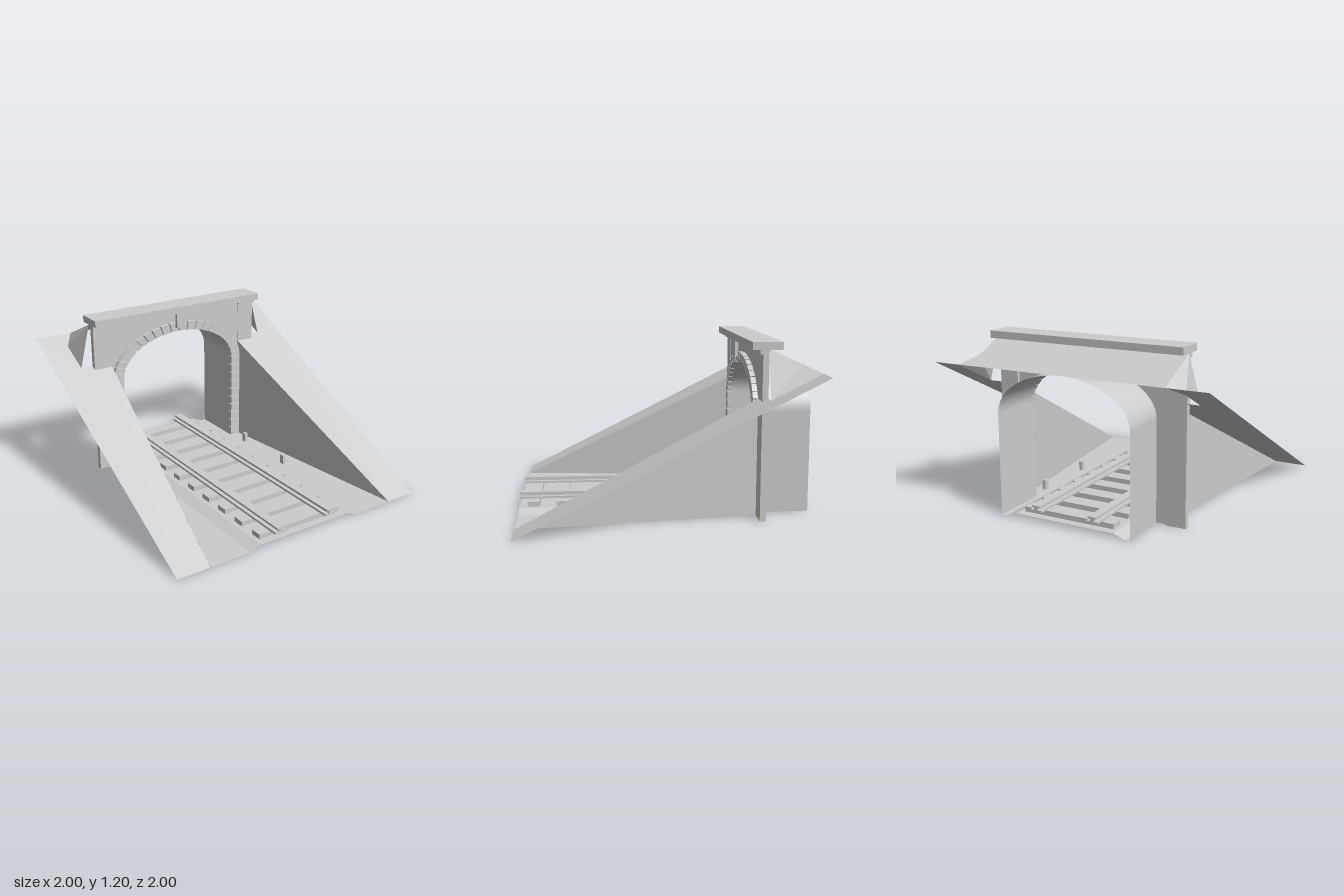
import * as THREE from 'three';

const slopeY = (z) => (1 - z) / 2;
const SPRING = 0.7; // height where the arch starts

// point on a half ellipse over the springing line, t from 0 (+x) to PI (-x)
const arc = (a, b, t) => [a * Math.cos(t), SPRING + b * Math.sin(t)];

export function createModel() {
  const root = new THREE.Group();
  root.name = 'tunnelPortal';
  const stone = new THREE.MeshStandardMaterial({ color: 0xcccccc });
  stone.name = 'paleGrey';
  stone.side = THREE.DoubleSide;

  const add = (name, geometry, parent = root) => {
    const mesh = new THREE.Mesh(geometry, stone);
    mesh.name = name;
    parent.add(mesh);
    return mesh;
  };
  const group = (name) => {
    const g = new THREE.Group();
    g.name = name;
    root.add(g);
    return g;
  };
  // box given by its limits
  const box = (name, x0, x1, y0, y1, z0, z1, parent) => {
    const g = new THREE.BoxGeometry(x1 - x0, y1 - y0, z1 - z0);
    g.translate((x0 + x1) / 2, (y0 + y1) / 2, (z0 + z1) / 2);
    return add(name, g, parent);
  };
  const shapeOf = (pts) => new THREE.Shape(pts.map(([x, y]) => new THREE.Vector2(x, y)));
  // outline in x/y pushed from z0 to z1
  const slab = (shape, z0, z1) =>
    new THREE.ExtrudeGeometry(shape, { depth: z1 - z0, bevelEnabled: false }).translate(0, 0, z0);
  // surface through rows of points
  const loft = (rows, smooth) => {
    const n = rows[0].length, index = [];
    for (let r = 0; r < rows.length - 1; r++) {
      for (let i = 0; i < n - 1; i++) {
        const a = r * n + i, b = a + n;
        index.push(a, a + 1, b, a + 1, b + 1, b);
      }
    }
    let g = new THREE.BufferGeometry();
    g.setAttribute('position', new THREE.Float32BufferAttribute(rows.flat(2), 3));
    g.setIndex(index);
    if (!smooth) g = g.toNonIndexed();
    g.computeVertexNormals();
    return g;
  };

  // ground with a low raised bed under the track
  const groundRow = (w, z) =>
    [[-w, 0], [-0.45, 0], [-0.37, 0.03], [0.37, 0.03], [0.45, 0], [w, 0]].map(([x, y]) => [x, y, z]);
  add('ground', loft([groundRow(0.76, 1), groundRow(0.57, -0.62), groundRow(0.49, -0.62), groundRow(0.49, -1)]));

  // sloping embankments and the retaining walls below them
  for (const s of [1, -1]) {
    const inner = s > 0 ? [[0.8, -1], [0.8, -0.66]] : [[0.72, -1], [0.8, -0.88], [0.8, -0.66]];
    const plan = [[0.76, 1], [1, 1], [1, -1], ...inner, [0.57, -0.66], [0.57, -0.62]];
    const g = new THREE.ShapeGeometry(shapeOf(plan.map(([x, z]) => [s * x, -z])));
    g.rotateX(-Math.PI / 2);
    const p = g.attributes.position;
    for (let i = 0; i < p.count; i++) p.setY(i, slopeY(p.getZ(i)));
    g.computeVertexNormals();
    add(s > 0 ? 'leftEmbankment' : 'rightEmbankment', g);

    const foot = [[s * 0.76, 0, 1], [s * 0.57, 0, -0.62]];
    const top = [[s * 0.76, 0.001, 1], [s * 0.57, slopeY(-0.62), -0.62]];
    add(s > 0 ? 'leftRetainingWall' : 'rightRetainingWall', loft(s > 0 ? [foot, top] : [top, foot]));
  }

  // earth cover falling back from the parapet, and its side skirts
  add('earthCover', loft([
    [[-0.72, 1.15, -0.66], [0.72, 1.15, -0.66]],
    [[-0.72, 1.053, -0.88], [0.72, 1.053, -0.88]],
    [[-0.72, 1, -1], [0.8, 1, -1]],
  ]));
  add('leftSkirt', loft([
    [[0.72, 1.15, -0.66], [0.8, 0.83, -0.66]],
    [[0.72, 1.053, -0.88], [0.8, 1, -1]],
  ]));
  add('rightSkirt', loft([
    [[-0.8, 0.83, -0.66], [-0.72, 1.15, -0.66]],
    [[-0.8, 0.94, -0.88], [-0.72, 1, -1]],
  ]));

  // tunnel lining
  const lining = [[0.49, 0]];
  for (let i = 0; i <= 32; i++) lining.push(arc(0.49, 0.3, (i / 32) * Math.PI));
  lining.push([-0.49, 0]);
  add('tunnelLining', loft([-1, -0.62].map((z) => lining.map(([x, y]) => [x, y, z])), true));

  // portal wall with the arched opening
  add('portalWall', slab(shapeOf([[0.6, 0], [0.6, 1.15], [-0.6, 1.15], [-0.6, 0], ...lining.slice().reverse()]), -0.64, -0.625));

  // arch stones and jamb stones with fine joints
  const stones = group('archStones');
  const N = 22, gap = 0.008;
  for (let i = 0; i < N; i++) {
    const t0 = (i / N) * Math.PI + gap, t1 = ((i + 1) / N) * Math.PI - gap;
    const outline = [arc(0.49, 0.3, t0), arc(0.57, 0.365, t0), arc(0.57, 0.365, t1), arc(0.49, 0.3, t1)];
    add('archStone', slab(shapeOf(outline), -0.625, -0.59), stones);
  }
  for (const s of [1, -1]) {
    for (let i = 0; i < 10; i++) {
      const y = i * 0.07;
      const x = [s * 0.49, s * 0.57].sort((a, b) => a - b);
      box('jambStone', x[0], x[1], y + 0.003, y + 0.067, -0.625, -0.59, stones);
    }
  }
  box('keystone', -0.04, 0.04, 1.035, 1.15, -0.575, -0.55);

  // pilasters with capitals, and the parapet coping
  for (const s of [1, -1]) {
    const c = s * 0.64;
    box('pilaster', c - 0.07, c + 0.07, 0, 1.12, -0.66, -0.62);
    box('capital', c - 0.075, c + 0.075, 1.12, 1.15, -0.66, -0.6);
  }
  box('coping', -0.72, 0.72, 1.15, 1.2, -0.75, -0.55);

  // railway track
  const track = group('track');
  for (let i = 0; i < 10; i++) {
    const z = 0.9 - i * 0.2;
    box('sleeper', -0.34, 0.34, 0.025, 0.065, z - 0.042, z + 0.042, track);
  }
  for (const x of [-0.213, 0.213]) {
    box('railFoot', x - 0.042, x + 0.042, 0.065, 0.08, -1, 1, track);
    box('railWeb', x - 0.014, x + 0.014, 0.08, 0.1, -1, 1, track);
    box('railHead', x - 0.03, x + 0.03, 0.098, 0.11, -1, 1, track);
  }

  // short marker posts beside the track
  for (const x of [-0.52, 0.52]) {
    for (const z of [-0.43, 0.08]) box('markerPost', x - 0.013, x + 0.013, 0, 0.07, z - 0.02, z + 0.02);
  }
  return root;
}
